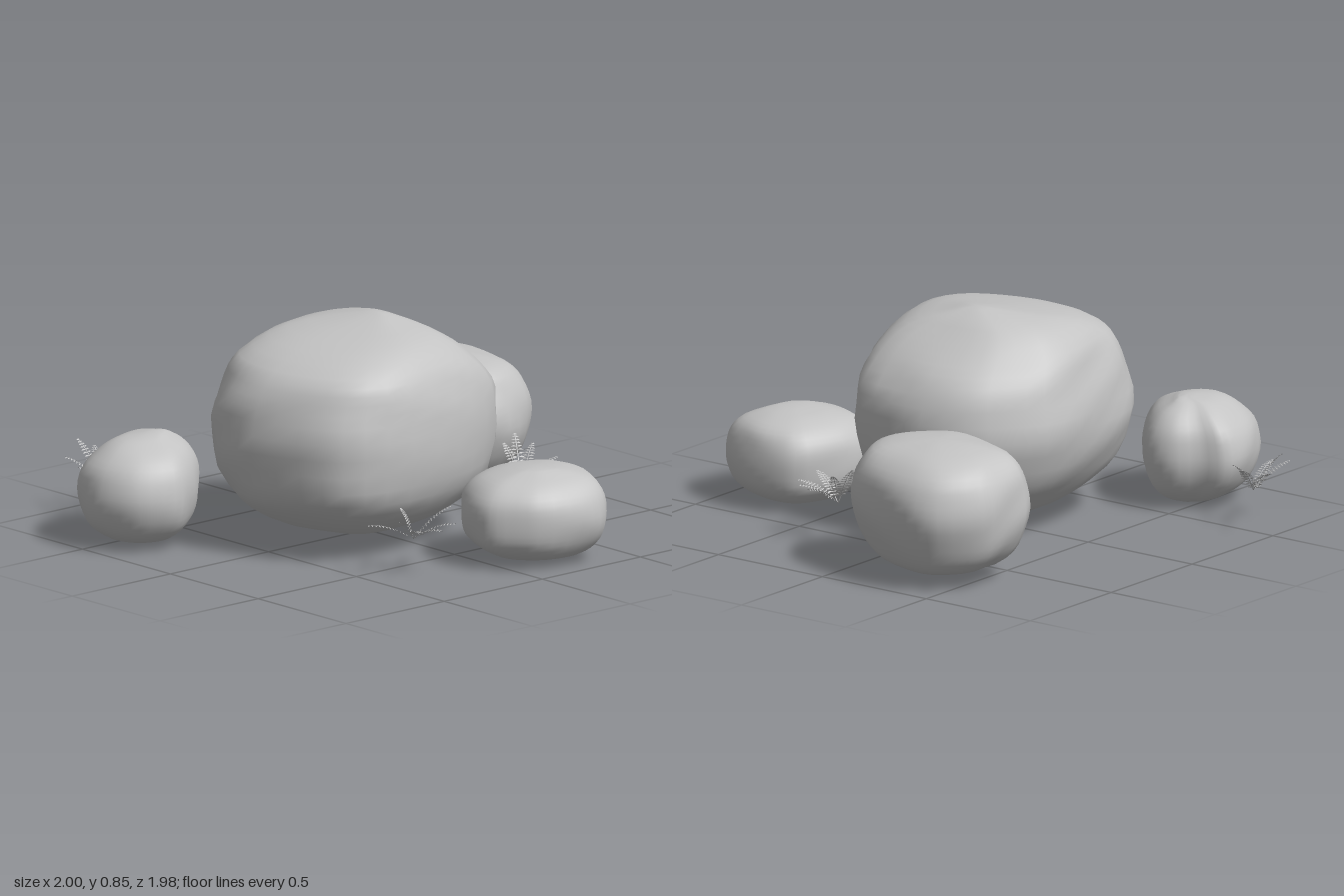
import * as THREE from 'three';

const grey = new THREE.MeshStandardMaterial({ color: 0xc4c4c4, side: THREE.DoubleSide });
grey.name = 'stone grey';

const V = (x, y, z) => new THREE.Vector3(x, y, z);
const AROUND = 36, ROWS = 24;

// Boulder: a plan outline [x, z] stretched, level by level, to [y, x0, x1, z0, z1]
function boulder(name, outline, levels, seed) {
  const plan = new THREE.CatmullRomCurve3(outline.map(([x, z]) => V(x, 0, z)), true).getPoints(AROUND);
  const box = new THREE.Box3().setFromPoints(plan);
  const centre = box.getCenter(V(0, 0, 0)), size = box.getSize(V(0, 0, 0));
  const lows = new THREE.CatmullRomCurve3(levels.map(([y, x0, , z0]) => V(x0, y, z0)));
  const highs = new THREE.CatmullRomCurve3(levels.map(([y, , x1, , z1]) => V(x1, y, z1)));
  const pos = [], idx = [];
  for (let r = 0; r <= ROWS; r++) {
    const a = lows.getPoint(r / ROWS), b = highs.getPoint(r / ROWS);
    for (let i = 0; i < AROUND; i++) {
      const u = (plan[i].x - centre.x) / size.x, w = (plan[i].z - centre.z) / size.z;
      // gentle weathered lumps
      const lump = 1 + 0.018 * Math.sin(11 * u + 17 * a.y + seed) * Math.sin(9 * w - 13 * a.y + 2 * seed);
      pos.push((a.x + b.x) / 2 + u * (b.x - a.x) * lump, a.y, (a.z + b.z) / 2 + w * (b.z - a.z) * lump);
    }
  }
  for (let r = 0; r < ROWS; r++) {
    for (let i = 0; i < AROUND; i++) {
      const j = (i + 1) % AROUND, p = r * AROUND, q = p + AROUND;
      idx.push(p + i, q + i, p + j, p + j, q + i, q + j);
    }
  }
  // close the bottom and the top with fans
  [0, ROWS].forEach((r) => {
    const c = pos.length / 3, p = r * AROUND, l = levels[r ? levels.length - 1 : 0];
    pos.push((l[1] + l[2]) / 2, l[0] + (r ? 0.004 : -0.004), (l[3] + l[4]) / 2);
    for (let i = 0; i < AROUND; i++) {
      const j = (i + 1) % AROUND;
      if (r) idx.push(c, p + j, p + i);
      else idx.push(c, p + i, p + j);
    }
  });
  return meshFrom(name, pos, idx);
}

function meshFrom(name, pos, idx) {
  const g = new THREE.BufferGeometry();
  g.setAttribute('position', new THREE.Float32BufferAttribute(pos, 3));
  g.setIndex(idx);
  g.computeVertexNormals();
  const mesh = new THREE.Mesh(g, grey);
  mesh.name = name;
  return mesh;
}

// Frond: an arching stem with pairs of narrow leaflets
function frond(root, tip) {
  const mid = root.clone().lerp(tip, 0.5);
  mid.y += 0.035;
  const curve = new THREE.QuadraticBezierCurve3(root, mid, tip);
  const pos = [], idx = [], PAIRS = 14;
  const quad = (a, b, c, d) => {
    const n = pos.length / 3;
    [a, b, c, d].forEach((p) => pos.push(p.x, p.y, p.z));
    idx.push(n, n + 1, n + 2, n, n + 2, n + 3);
  };
  for (let k = 0; k < PAIRS; k++) {
    const t = (k + 0.5) / PAIRS;
    const p = curve.getPoint(t), along = curve.getTangent(t);
    const side = V(-along.z, 0, along.x).normalize();
    const s0 = curve.getPoint(k / PAIRS), s1 = curve.getPoint((k + 1) / PAIRS);
    const stem = side.clone().multiplyScalar(0.0015);
    quad(s0.clone().sub(stem), s0.clone().add(stem), s1.clone().add(stem), s1.clone().sub(stem));
    if (k < 2) continue;
    const reach = 0.027 * Math.sin(Math.PI * (0.2 + 0.72 * t));
    for (const s of [-1, 1]) {
      const at = (out, fwd, drop) => p.clone().addScaledVector(side, s * out * reach)
        .addScaledVector(along, fwd).add(V(0, -drop, 0));
      quad(at(0, 0, 0), at(0.5, 0.006, 0), at(1, 0.005, 0.004), at(0.5, -0.001, 0));
    }
  }
  return meshFrom('frond', pos, idx);
}

function fern(name, root, tips) {
  const g = new THREE.Group();
  g.name = name;
  tips.forEach((t) => g.add(frond(V(...root), V(...t))));
  return g;
}

export function createModel() {
  const model = new THREE.Group();
  model.name = 'boulders and ferns';

  model.add(boulder('largeBoulder',
    [[-0.63, 0.05], [-0.62, -0.1], [-0.56, -0.24], [-0.44, -0.37], [-0.27, -0.43], [-0.04, -0.46],
      [0.14, -0.44], [0.28, -0.36], [0.4, -0.24], [0.455, -0.05], [0.45, 0.12], [0.4, 0.31],
      [0.22, 0.42], [0, 0.48], [-0.28, 0.495], [-0.46, 0.42], [-0.56, 0.26]],
    [[0.045, -0.12, 0.05, -0.08, 0.13], [0.08, -0.35, 0.2, -0.22, 0.27], [0.15, -0.5, 0.33, -0.32, 0.39],
      [0.25, -0.6, 0.42, -0.4, 0.465], [0.4, -0.635, 0.455, -0.455, 0.495], [0.55, -0.63, 0.45, -0.44, 0.49],
      [0.65, -0.585, 0.39, -0.41, 0.47], [0.72, -0.53, 0.31, -0.38, 0.44], [0.79, -0.37, 0.21, -0.31, 0.35],
      [0.83, -0.14, 0.14, -0.19, 0.18], [0.855, 0, 0.07, -0.05, 0.06]], 1));

  model.add(boulder('frontBoulder',
    [[-0.09, 0.76], [-0.07, 0.64], [0.01, 0.52], [0.13, 0.475], [0.28, 0.5], [0.42, 0.58],
      [0.46, 0.71], [0.43, 0.85], [0.34, 0.97], [0.22, 0.985], [0.04, 0.93], [-0.05, 0.84]],
    [[0.01, 0.13, 0.26, 0.67, 0.78], [0.04, 0.02, 0.37, 0.57, 0.91], [0.1, -0.07, 0.44, 0.5, 0.97],
      [0.18, -0.09, 0.46, 0.48, 0.995], [0.26, -0.08, 0.45, 0.485, 0.985], [0.32, -0.03, 0.42, 0.53, 0.94],
      [0.355, 0.06, 0.34, 0.61, 0.87], [0.37, 0.12, 0.25, 0.71, 0.82]], 2.3));

  model.add(boulder('leftBoulder',
    [[0.37, -0.22], [0.42, -0.43], [0.54, -0.65], [0.68, -0.66], [0.83, -0.65], [0.96, -0.53],
      [0.995, -0.4], [0.95, -0.2], [0.88, -0.05], [0.7, 0.03], [0.53, -0.03], [0.42, -0.12]],
    [[0.045, 0.62, 0.82, -0.42, -0.2], [0.07, 0.5, 0.9, -0.55, -0.1], [0.14, 0.42, 0.95, -0.62, -0.02],
      [0.25, 0.38, 0.99, -0.655, 0.03], [0.35, 0.37, 0.995, -0.655, 0.03], [0.43, 0.4, 0.97, -0.635, 0],
      [0.49, 0.45, 0.9, -0.58, -0.04], [0.52, 0.55, 0.8, -0.47, -0.15], [0.53, 0.62, 0.74, -0.38, -0.25]], 4));

  model.add(boulder('rightBoulder',
    [[-1, -0.44], [-0.96, -0.57], [-0.84, -0.66], [-0.7, -0.7], [-0.61, -0.68], [-0.57, -0.6], [-0.5, -0.52],
      [-0.49, -0.42], [-0.56, -0.33], [-0.68, -0.24], [-0.78, -0.2], [-0.9, -0.25], [-0.97, -0.34]],
    [[0.01, -0.8, -0.66, -0.5, -0.4], [0.04, -0.9, -0.58, -0.58, -0.3], [0.1, -0.97, -0.52, -0.66, -0.23],
      [0.2, -1, -0.49, -0.7, -0.2], [0.3, -0.985, -0.495, -0.685, -0.215], [0.37, -0.92, -0.54, -0.62, -0.27],
      [0.41, -0.84, -0.6, -0.55, -0.36], [0.425, -0.74, -0.64, -0.48, -0.41]], 5.5));

  model.add(fern('frontFern', [-0.28, 0.13, 0.58],
    [[-0.48, 0.21, 0.54], [-0.43, 0.24, 0.66], [-0.38, 0.2, 0.73], [-0.3, 0.2, 0.76],
      [-0.21, 0.21, 0.74], [-0.17, 0.26, 0.67], [-0.31, 0.25, 0.54]]));
  model.add(fern('sideFern', [0.53, 0.14, 0.29],
    [[0.58, 0.22, 0.44], [0.49, 0.24, 0.42], [0.64, 0.22, 0.39], [0.7, 0.23, 0.3],
      [0.64, 0.28, 0.23], [0.61, 0.31, 0.16], [0.53, 0.29, 0.19]]));
  model.add(fern('backFern', [-0.61, 0.13, -0.82],
    [[-0.74, 0.22, -0.81], [-0.72, 0.24, -0.91], [-0.63, 0.29, -0.94], [-0.52, 0.24, -0.97],
      [-0.43, 0.21, -0.98], [-0.46, 0.25, -0.88], [-0.53, 0.24, -0.79]]));
  return model;
}
